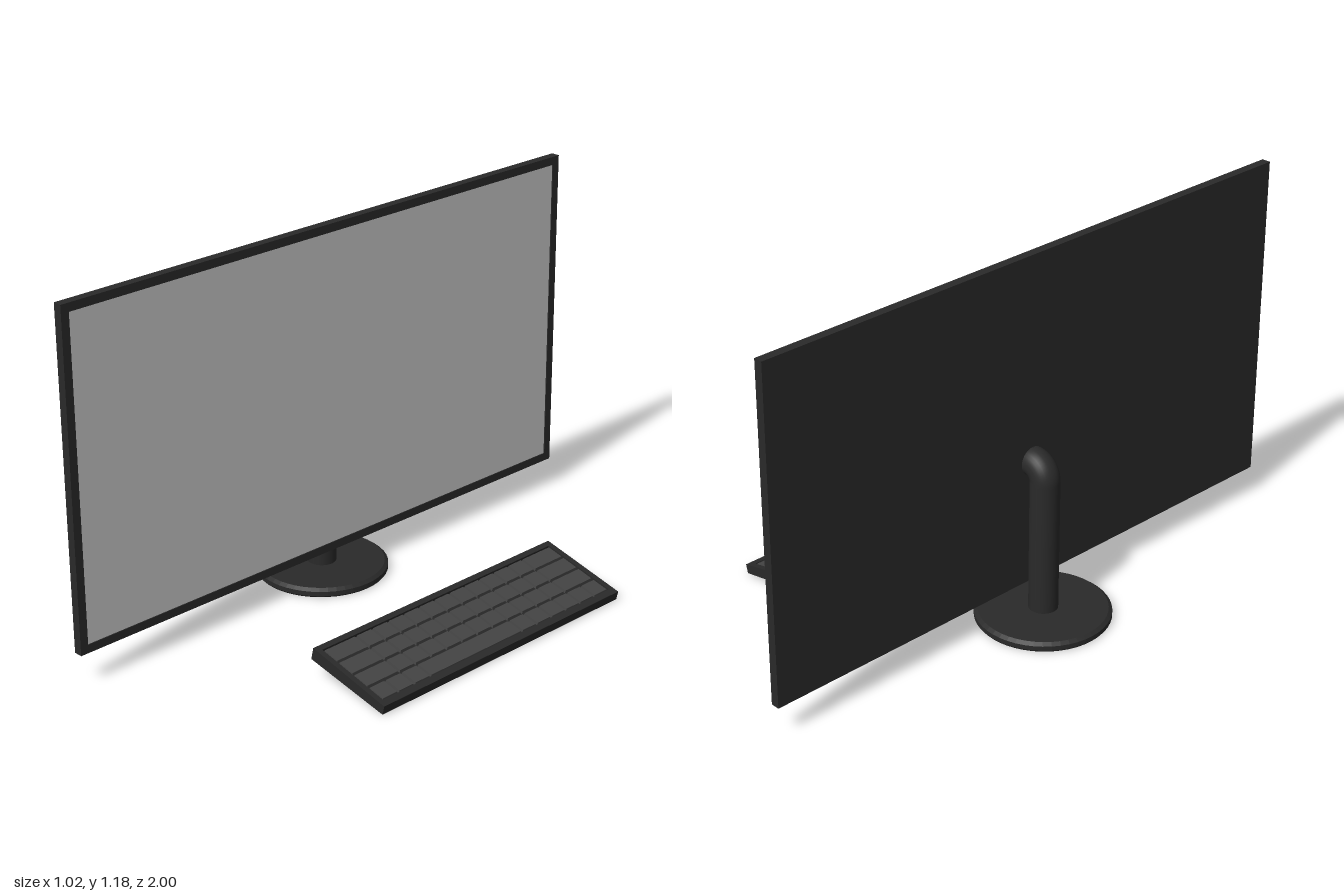
import * as THREE from 'three';

const paint = (color) => new THREE.MeshStandardMaterial({ color });

function add(parent, name, geometry, material, x = 0, y = 0, z = 0) {
  const mesh = new THREE.Mesh(geometry, material);
  mesh.name = name;
  mesh.position.set(x, y, z);
  parent.add(mesh);
  return mesh;
}

// Rectangle as a list of corners, for outlines and holes
const rect = (x0, y0, x1, y1) => [[x0, y0], [x1, y0], [x1, y1], [x0, y1]]
  .map(([x, y]) => new THREE.Vector2(x, y));

// Flat rectangular frame: outer and inner rectangles, extruded along z
function frame(outer, inner, depth) {
  const shape = new THREE.Shape(rect(...outer));
  shape.holes.push(new THREE.Path(rect(...inner).reverse()));
  return new THREE.ExtrudeGeometry(shape, { depth, bevelEnabled: false });
}

function createMonitor(dark, grey) {
  const monitor = new THREE.Group();
  monitor.name = 'monitor';

  // Panel with a raised bezel, facing +x
  add(monitor, 'panelBack', new THREE.BoxGeometry(0.024, 1.08, 2), dark, -0.235, 0.64, 0);
  const bezel = frame([-1, -0.54, 1, 0.54], [-0.973, -0.513, 0.973, 0.513], 0.005);
  add(monitor, 'bezel', bezel.rotateY(Math.PI / 2), dark, -0.223, 0.64, 0);
  add(monitor, 'screen', new THREE.BoxGeometry(0.002, 1.026, 1.946), grey, -0.222, 0.64, 0);

  // Round foot with chamfered edges
  const profile = [[0, 0], [0.207, 0], [0.211, 0.005], [0.211, 0.02], [0.2, 0.029], [0, 0.029]]
    .map(([r, y]) => new THREE.Vector2(r, y));
  const foot = new THREE.LatheGeometry(profile, 48).toNonIndexed();
  foot.computeVertexNormals();
  add(monitor, 'foot', foot, dark, -0.298, 0, -0.015);

  // Column bending forward to the back of the panel
  const path = new THREE.CurvePath();
  const v = (x, y) => new THREE.Vector3(x, y, 0);
  path.add(new THREE.LineCurve3(v(0, 0.02), v(0, 0.464)));
  path.add(new THREE.CubicBezierCurve3(v(0, 0.464), v(0, 0.491), v(0.022, 0.513), v(0.049, 0.513)));
  add(monitor, 'column', new THREE.TubeGeometry(path, 90, 0.046, 28), dark, -0.299, 0, -0.015);
  const mount = new THREE.CylinderGeometry(0.046, 0.046, 0.006, 28).rotateZ(Math.PI / 2);
  add(monitor, 'mount', mount, dark, -0.249, 0.513, -0.015);
  return monitor;
}

// Key cap: a box whose top is drawn in slightly
function keyCap(width, length) {
  const geometry = new THREE.BoxGeometry(width, 0.01, length).toNonIndexed();
  const p = geometry.attributes.position;
  for (let i = 0; i < p.count; i++) {
    if (p.getY(i) < 0) continue;
    p.setX(i, p.getX(i) - Math.sign(p.getX(i)) * 0.002);
    p.setZ(i, p.getZ(i) - Math.sign(p.getZ(i)) * 0.002);
  }
  geometry.computeVertexNormals();
  return geometry;
}

function createKeyboard(dark, keyMaterial) {
  const keyboard = new THREE.Group();
  keyboard.name = 'keyboard';
  const length = 1.01, depth = 0.305, rim = 0.01;
  const u0 = 0.02, u1 = 0.281, z0 = -0.487, z1 = 0.487;

  // Wedge-shaped tray
  const side = new THREE.Shape([[0, -rim], [0, -0.041], [depth, -0.03], [depth, -rim]]
    .map(([x, y]) => new THREE.Vector2(x, y)));
  const tray = new THREE.ExtrudeGeometry(side, { depth: length, bevelEnabled: false });
  add(keyboard, 'tray', tray, dark, 0, 0, -length / 2);

  // Raised rim around the keys
  const edge = frame([0, -length / 2, depth, length / 2], [u0, z0, u1, z1], rim);
  add(keyboard, 'rim', edge.rotateX(Math.PI / 2), dark);

  // Four rows of keys, each fifteen units long
  const ones = (n) => Array(n).fill(1);
  const letters = [2, ...ones(11), 2];
  const spaceRow = [...ones(6), 6, ...ones(3)];
  const pitch = (u1 - u0) / 4, unit = (z1 - z0) / 15, gap = 0.006;
  [letters, letters, letters, spaceRow].forEach((row, r) => {
    let start = 0;
    for (const size of row) {
      const name = size === 6 ? 'spaceBar' : 'key';
      add(keyboard, name, keyCap(pitch - gap, size * unit - gap), keyMaterial,
        u0 + (r + 0.5) * pitch, -0.006, z0 + (start + size / 2) * unit);
      start += size;
    }
  });

  // Tilted down towards the user
  keyboard.position.set(0.21, 0.1, -0.02);
  keyboard.rotation.z = -0.232;
  return keyboard;
}

export function createModel() {
  const model = new THREE.Group();
  model.name = 'desktopComputer';
  const dark = paint(0x2a2a2a);
  model.add(createMonitor(dark, paint(0xcccccc)), createKeyboard(dark, paint(0x444444)));
  return model;
}
